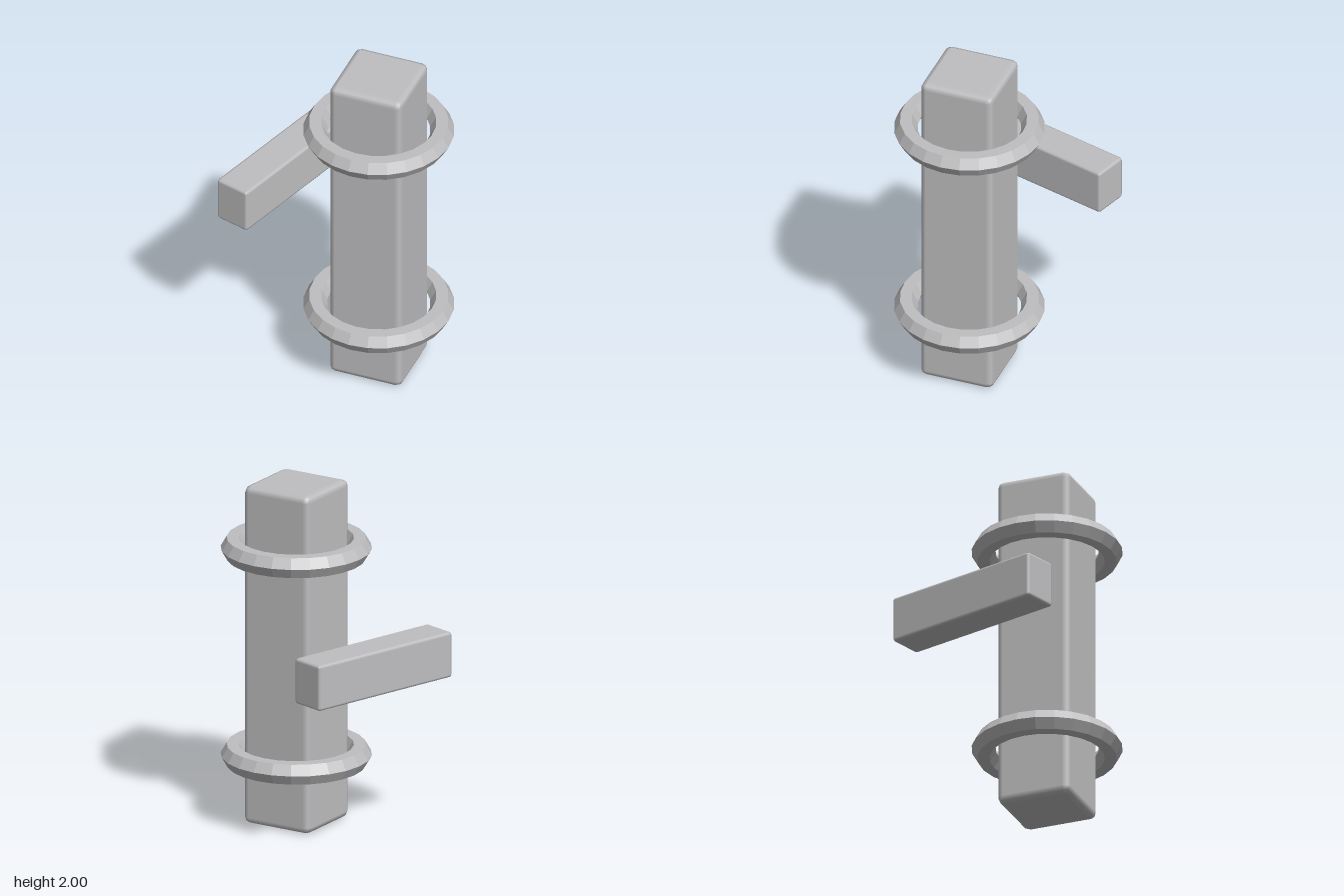
import * as THREE from 'three';
import { RoundedBoxGeometry } from 'three/addons/geometries/RoundedBoxGeometry.js';

export function createModel() {
  const model = new THREE.Group();
  model.name = 'ringedPillarAndBar';

  const grey = new THREE.MeshStandardMaterial({ color: 0xbfbfc1 });
  grey.name = 'plain grey';
  // Same colour, faceted for the low-poly rings
  const facetedGrey = grey.clone();
  facetedGrey.name = 'faceted grey';
  facetedGrey.flatShading = true;

  const add = (name, geometry, material, x, y, z) => {
    const mesh = new THREE.Mesh(geometry, material);
    mesh.name = name;
    mesh.position.set(x, y, z);
    model.add(mesh);
    return mesh;
  };

  const pillarZ = 0.172;

  // Square pillar with bevelled edges, turned about its height
  const pillar = add('pillar', new RoundedBoxGeometry(0.442, 2, 0.442, 1, 0.04), grey, 0, 1, pillarZ);
  pillar.rotation.y = 0.291;

  // Two rings of hexagonal section around the pillar
  const ring = new THREE.TorusGeometry(0.36, 0.068, 6, 24).rotateX(Math.PI / 2);
  add('lowerRing', ring, facetedGrey, 0, 0.392, pillarZ);
  add('upperRing', ring, facetedGrey, 0, 1.615, pillarZ);

  // Separate crossbar floating behind the pillar
  add('crossbar', new RoundedBoxGeometry(0.994, 0.27, 0.216, 1, 0.018), grey, 0, 1.062, -0.494);

  return model;
}
